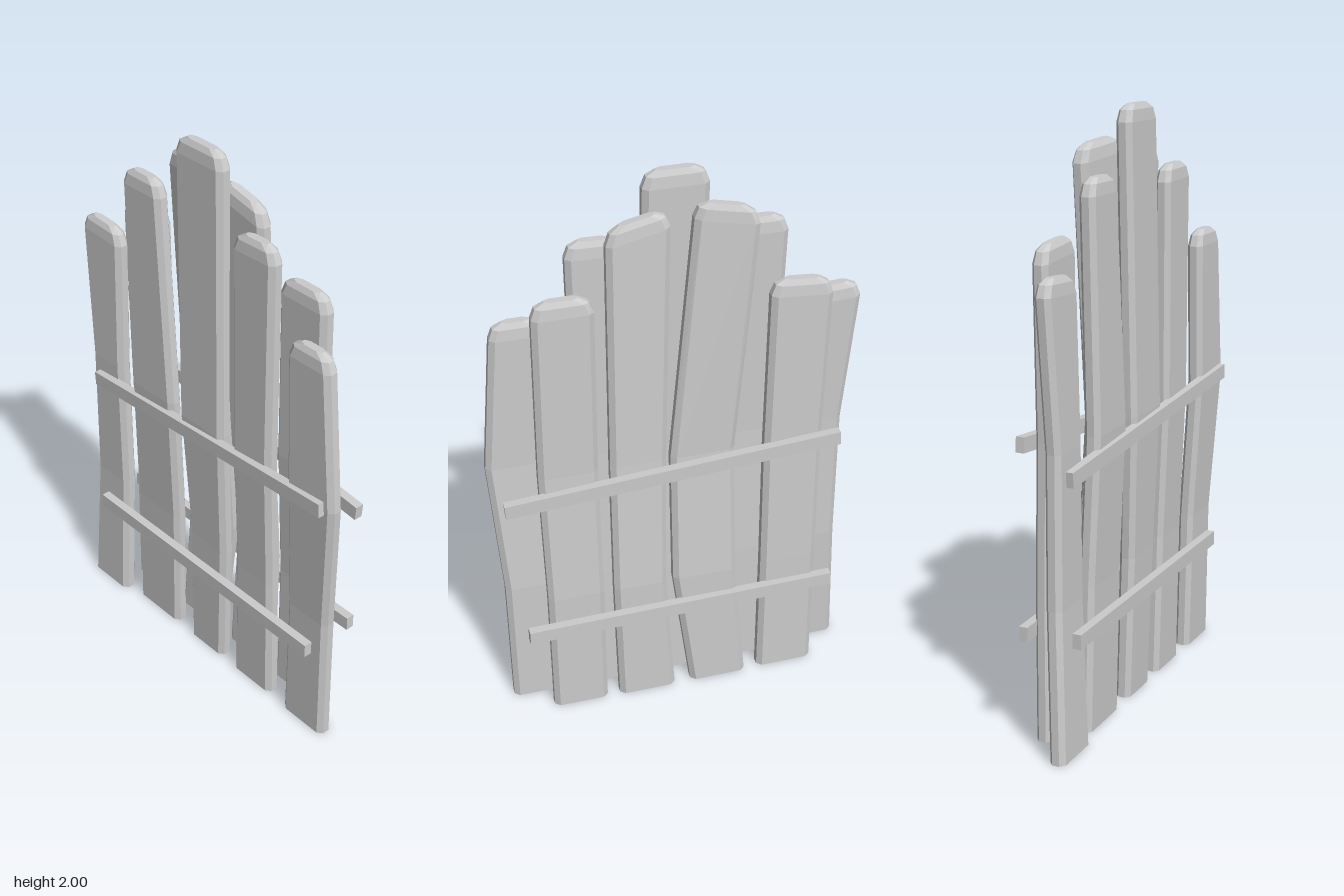
import * as THREE from 'three';

const material = new THREE.MeshStandardMaterial({ color: 0xcccccc, flatShading: true, roughness: 0.9 });
const HALF = 0.0275; // half thickness of a plank

// One warped plank: l, r and z give left edge, right edge and depth at the foot, y = 0.5, y = 1 and the top.
function plank(name, { h, tilt = 0, twist = 0, l, r, z }) {
  // rings: [height, index of the edge data, side inset, half thickness, share of tilt]
  const rings = [
    [0, 0, 0, HALF, 0],
    [0.5, 1, 0, HALF, 0],
    [1, 2, 0, HALF, 0],
    [h - 0.055, 3, 0, HALF, 1],
    [h - 0.018, 3, 0.014, HALF * 0.85, 1],
    [h, 3, 0.045, HALF * 0.5, 1],
  ];
  const n = 8, pos = [], index = [];
  for (const [y, k, inset, t, slope] of rings) {
    const L = l[k] + inset, R = r[k] - inset, mid = (L + R) / 2;
    const c = 0.018, q = t * 0.45;
    // chamfered rectangle
    const section = [
      [R, -q], [R, q], [R - c, t], [L + c, t],
      [L, q], [L, -q], [L + c, -t], [R - c, -t],
    ];
    for (const [x, dz] of section) {
      pos.push(x, y + slope * tilt * (x - mid), z[k] + dz + slope * twist * (x - mid));
    }
  }
  for (let s = 0; s < rings.length - 1; s++) {
    for (let i = 0; i < n; i++) {
      const a = s * n + i, b = s * n + (i + 1) % n;
      index.push(a, a + n, b, b, a + n, b + n);
    }
  }
  const top = (rings.length - 1) * n;
  for (let i = 1; i < n - 1; i++) {
    index.push(0, i, i + 1, top, top + i + 1, top + i);
  }
  const indexed = new THREE.BufferGeometry();
  indexed.setAttribute('position', new THREE.Float32BufferAttribute(pos, 3));
  indexed.setIndex(index);
  const geometry = indexed.toNonIndexed();
  geometry.computeVertexNormals();
  const mesh = new THREE.Mesh(geometry, material);
  mesh.name = name;
  return mesh;
}

// Straight batten between two end points
function batten(name, from, to) {
  const a = new THREE.Vector3(...from), b = new THREE.Vector3(...to);
  const mesh = new THREE.Mesh(new THREE.BoxGeometry(a.distanceTo(b), 0.05, 0.03), material);
  mesh.name = name;
  mesh.position.copy(a).add(b).multiplyScalar(0.5);
  mesh.quaternion.setFromUnitVectors(new THREE.Vector3(1, 0, 0), b.sub(a).normalize());
  return mesh;
}

export function createModel() {
  const model = new THREE.Group();
  model.name = 'plankPanel';

  // Front row, from the model's right to its left
  const front = [
    { h: 1.53, tilt: -0.06, l: [-0.625, -0.6, -0.595, -0.63], r: [-0.435, -0.43, -0.435, -0.435], z: [0.06, 0.04, 0.04, 0.03] },
    { h: 1.8, l: [-0.385, -0.37, -0.36, -0.38], r: [-0.165, -0.152, -0.148, -0.2], z: [0.03, 0.035, 0.055, 0.05] },
    { h: 2, l: [-0.09, -0.08, -0.105, -0.122], r: [0.08, 0.1, 0.107, 0.09], z: [0.03, 0.04, 0.06, 0.048] },
    { h: 1.79, tilt: 0.03, l: [0.145, 0.155, 0.155, 0.15], r: [0.33, 0.33, 0.33, 0.332], z: [0.03, 0.038, 0.058, 0.06] },
    { h: 1.54, l: [0.405, 0.415, 0.42, 0.405], r: [0.595, 0.595, 0.625, 0.58], z: [0.035, 0.04, 0.068, 0.068] },
  ];
  // Back row, filling the gaps
  const back = [
    { h: 1.615, tilt: 0.08, l: [-0.5, -0.495, -0.495, -0.505], r: [-0.295, -0.295, -0.295, -0.3], z: [-0.055, -0.055, -0.045, -0.045] },
    { h: 1.895, tilt: 0.12, twist: 0.2, l: [-0.245, -0.2, -0.195, -0.257], r: [-0.04, 0.025, 0.025, -0.06], z: [-0.06, -0.06, -0.03, -0.02] },
    { h: 1.87, tilt: -0.22, l: [0.02, 0.05, 0.04, 0.015], r: [0.225, 0.235, 0.23, 0.217], z: [-0.06, -0.06, -0.03, 0] },
    { h: 1.65, l: [0.27, 0.27, 0.27, 0.265], r: [0.465, 0.465, 0.47, 0.462], z: [-0.055, -0.055, -0.03, -0.03] },
  ];
  front.forEach((p, i) => model.add(plank(`frontPlank${i + 1}`, p)));
  back.forEach((p, i) => model.add(plank(`backPlank${i + 1}`, p)));

  // Battens holding the planks on both faces
  model.add(
    batten('frontLowerBatten', [-0.53, 0.385, 0.089], [0.545, 0.385, 0.09]),
    batten('frontUpperBatten', [-0.55, 0.915, 0.077], [0.59, 1.01, 0.102]),
    batten('backLowerBatten', [-0.55, 0.385, -0.09], [0.545, 0.385, -0.108]),
    batten('backUpperBatten', [-0.55, 1.005, -0.09], [0.59, 0.91, -0.066]),
  );
  return model;
}
